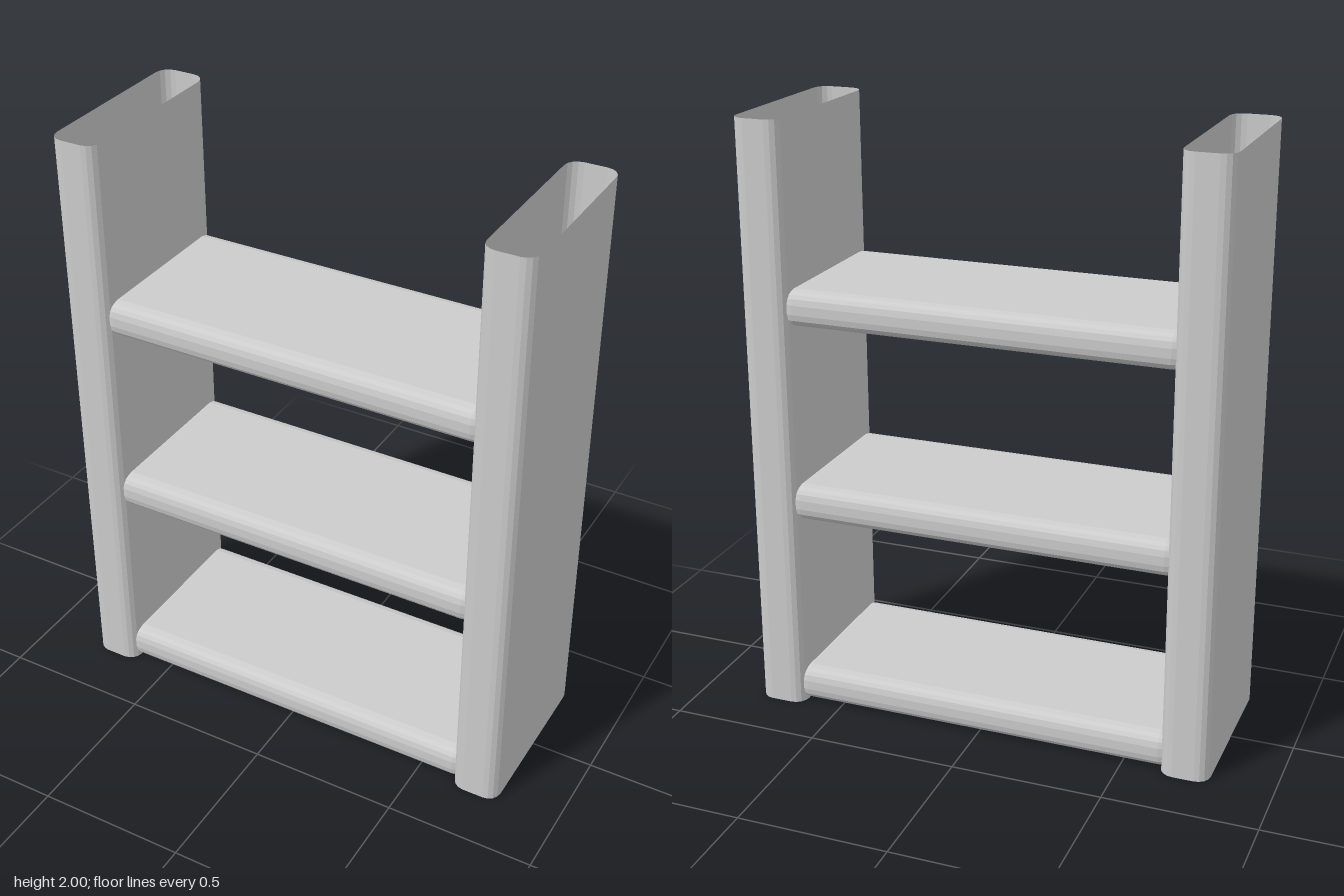
import * as THREE from 'three';
import { RoundedBoxGeometry } from 'three/addons/geometries/RoundedBoxGeometry.js';

const POST = { x: 0.71, width: 0.162, depth: 0.62, height: 2, radius: 0.045, steps: 4 };
const RUNG = { length: 1.33, height: 0.121, depth: 0.58, radius: 0.045, bottoms: [0.004, 0.672, 1.338] };

// Closed outline of a rectangle with rounded corners, anticlockwise
function roundedOutline(width, depth, radius, steps) {
  const points = [];
  const corners = [[1, -1], [1, 1], [-1, 1], [-1, -1]];
  corners.forEach(([sx, sz], i) => {
    for (let s = 0; s <= steps; s++) {
      const a = (i - 1 + s / steps) * Math.PI / 2;
      points.push(new THREE.Vector2(
        sx * (width / 2 - radius) + Math.cos(a) * radius,
        sz * (depth / 2 - radius) + Math.sin(a) * radius
      ));
    }
  });
  points.push(points[0].clone());
  return points;
}

// Thin hollow post, open at both ends: a sheet wrapped round the outline
function openPost() {
  const outline = roundedOutline(POST.width, POST.depth, POST.radius, POST.steps);
  const count = outline.length;
  const geometry = new THREE.PlaneGeometry(1, POST.height, count - 1, 1);
  const position = geometry.attributes.position;
  for (let i = 0; i < position.count; i++) {
    const p = outline[i % count];
    position.setXYZ(i, p.x, position.getY(i) + POST.height / 2, -p.y);
  }
  geometry.computeVertexNormals();
  return geometry;
}

export function createModel() {
  const model = new THREE.Group();
  model.name = 'ladder';

  const grey = new THREE.MeshStandardMaterial({ color: 0xcccccc, flatShading: true, side: THREE.DoubleSide });
  grey.name = 'light grey';

  // Side posts
  const postGeometry = openPost();
  for (const side of [1, -1]) {
    const post = new THREE.Mesh(postGeometry, grey);
    post.name = side > 0 ? 'leftPost' : 'rightPost';
    post.position.x = side * POST.x;
    model.add(post);
  }

  // Steps, with their ends running into the hollow posts
  const rungGeometry = new RoundedBoxGeometry(RUNG.length, RUNG.height, RUNG.depth, 2, RUNG.radius);
  RUNG.bottoms.forEach((bottom, i) => {
    const rung = new THREE.Mesh(rungGeometry, grey);
    rung.name = `step${i + 1}`;
    rung.position.y = bottom + RUNG.height / 2;
    model.add(rung);
  });

  return model;
}
